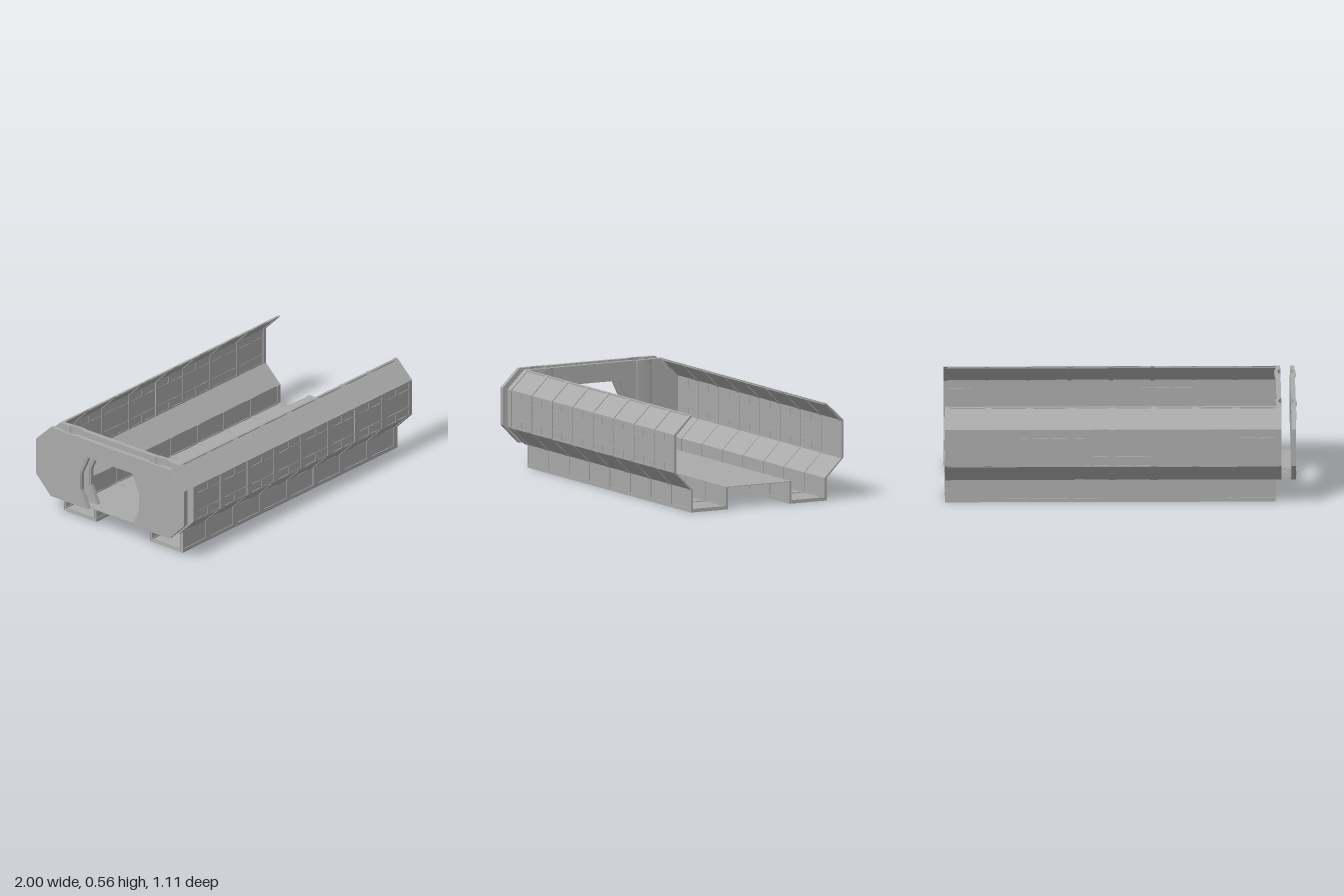
import * as THREE from 'three';

const metal = new THREE.MeshStandardMaterial({ color: 0xaaaaaa });
metal.name = 'grey metal';

const PITCH = 0.2355, FIRST = -0.895, BAYS = 8;

// Half sections as [z, y]: outer and inner skin of the wall and of the trench
const WALL = {
  outer: [[0.445, 0.13], [0.555, 0.24], [0.555, 0.455], [0.445, 0.56]],
  inner: [[0.43, 0.13], [0.54, 0.235], [0.54, 0.45], [0.43, 0.56]],
};
const TRENCH = {
  outer: [[0.445, 0.13], [0.445, 0], [0.2, 0], [0.2, 0.13]],
  inner: [[0.43, 0.13], [0.43, 0.02], [0.215, 0.02], [0.215, 0.13]],
};

export function createModel() {
  const model = new THREE.Group();
  model.name = 'corridorSection';

  const add = (parent, name, geometry) => {
    const mesh = new THREE.Mesh(geometry, metal);
    mesh.name = name;
    parent.add(mesh);
    return mesh;
  };

  const box = (parent, name, x0, x1, y0, y1, z0, z1) =>
    add(parent, name, new THREE.BoxGeometry(x1 - x0, y1 - y0, Math.abs(z1 - z0)))
      .position.set((x0 + x1) / 2, (y0 + y1) / 2, (z0 + z1) / 2);

  // Extrudes a [z, y] outline along x
  const alongX = (parent, name, points, x0, x1) => {
    const shape = new THREE.Shape(points.map(([z, y]) => new THREE.Vector2(-z, y)));
    const g = new THREE.ExtrudeGeometry(shape, { depth: x1 - x0, bevelEnabled: false });
    add(parent, name, g.rotateY(Math.PI / 2).translate(x0, 0, 0));
  };

  // Extrudes an [x, z] outline up y
  const alongY = (parent, name, points, y0, y1) => {
    const shape = new THREE.Shape(points.map(([x, z]) => new THREE.Vector2(x, -z)));
    const g = new THREE.ExtrudeGeometry(shape, { depth: y1 - y0, bevelEnabled: false });
    add(parent, name, g.rotateX(-Math.PI / 2).translate(0, y0, 0));
  };

  // Strip of a section between two depths, 0 = outer skin and 1 = inner skin
  const band = (section, side, a, b) => {
    const at = t => section.outer.map(([z, y], i) => [
      side * (z + (section.inner[i][0] - z) * t), y + (section.inner[i][1] - y) * t]);
    return [...at(a), ...at(b).reverse()];
  };

  // Wide ribs outside, narrow ribs inside
  const ribs = (parent, section, side, start) => {
    for (let i = 0; i <= BAYS; i++) {
      const x = FIRST + i * PITCH;
      alongX(parent, 'outerRib', band(section, side, 0, 0.5),
        Math.max(start, x - 0.02), Math.min(1, x + 0.02));
      alongX(parent, 'innerRib', band(section, side, 0.5, 1),
        Math.max(start, x - 0.011), Math.min(1, x + 0.011));
    }
  };

  for (const side of [1, -1]) {
    // Side wall
    const wall = new THREE.Group();
    wall.name = side > 0 ? 'frontWall' : 'backWall';
    model.add(wall);
    alongX(wall, 'wallPanel', band(WALL, side, 0.35, 0.7), -0.915, 0.995);
    ribs(wall, WALL, side, -0.915);
    for (const y of [0.24, 0.29, 0.4, 0.45])
      box(wall, 'wallRail', -0.9, 0.99, y - 0.005, y + 0.005, side * 0.542, side * 0.553);
    box(wall, 'topRail', -0.9, 0.99, 0.55, 0.558, side * 0.435, side * 0.449);
    for (let i = 0; i < BAYS; i++) {
      const x = FIRST + (i + 0.5) * PITCH;
      for (const y of [0.24, 0.4])
        box(wall, 'wallStud', x - 0.011, x + 0.011, y, y + 0.05, side * 0.542, side * 0.553);
    }

    // Floor trench
    const trench = new THREE.Group();
    trench.name = side > 0 ? 'frontTrench' : 'backTrench';
    model.add(trench);
    alongX(trench, 'trenchPanel', band(TRENCH, side, 0.3, 0.75), -0.88, 0.995);
    ribs(trench, TRENCH, side, -0.88);
    for (const z of [[0.43, 0.445], [0.2, 0.215]])
      box(trench, 'trenchRail', -0.88, 1, 0, 0.022, side * z[0], side * z[1]);
  }

  // Walkway floor
  box(model, 'floor', -0.97, 1, 0.126, 0.13, -0.21, 0.21);

  // Two bulkheads with a doorway; dir is the side facing away from the gap
  const door = [[0.163, 0.13], [0.215, 0.237], [0.215, 0.34], [0.163, 0.452]];
  const frame = [[0.17, 0.13], [0.224, 0.235], [0.224, 0.342], [0.17, 0.46]];
  const mirrored = pts => pts.map(([z, y]) => [-z, y]).reverse();
  const bulkhead = (name, x0, x1, dir, bulge) => {
    const wall = new THREE.Group();
    wall.name = name;
    model.add(wall);
    const gapX = dir > 0 ? x0 : x1, farX = dir > 0 ? x1 : x0;
    alongX(wall, 'doorWall', [[0.27, 0.13], [0.27, 0.56], [-0.27, 0.56], [-0.27, 0.13],
      ...mirrored(frame).reverse(), ...frame.slice().reverse()], x0, x1);
    alongX(wall, 'doorFrame', [...door, ...mirrored(door),
      ...mirrored(frame).reverse(), ...frame.slice().reverse()], x0 + 0.003, x1 - 0.003);
    for (const side of [1, -1]) {
      alongX(wall, 'cornerPlate', [[0.37, 0.13], ...WALL.outer, [0.37, 0.56]]
        .map(([z, y]) => [side * z, y]), x0, x1);
      // Curved column recess between door and corner
      const arc = (x, depth) => Array.from({ length: 13 }, (_, i) => {
        const a = Math.PI * i / 12;
        return [x + dir * depth * Math.sin(a), side * (0.32 - 0.05 * Math.cos(a))];
      });
      const column = (label, extra, y0, y1) => alongY(wall, label,
        [...arc(gapX, 0.016), ...arc(farX, bulge + extra).reverse()], y0, y1);
      column('column', 0, 0.13, 0.56);
      column('columnCollar', 0.003, 0.13, 0.155);
      column('columnCollar', 0.003, 0.535, 0.56);
      // Bolts near the sloped corner
      for (const [z, y] of [[0.474, 0.5], [0.462, 0.512], [0.45, 0.527]])
        add(wall, 'bolt', new THREE.CylinderGeometry(0.007, 0.007, 0.006, 10).rotateZ(Math.PI / 2))
          .position.set(farX, y, side * z);
    }
  };
  bulkhead('outerBulkhead', -0.997, -0.97, -1, 0);
  bulkhead('innerBulkhead', -0.915, -0.887, 1, 0.004);

  return model;
}
